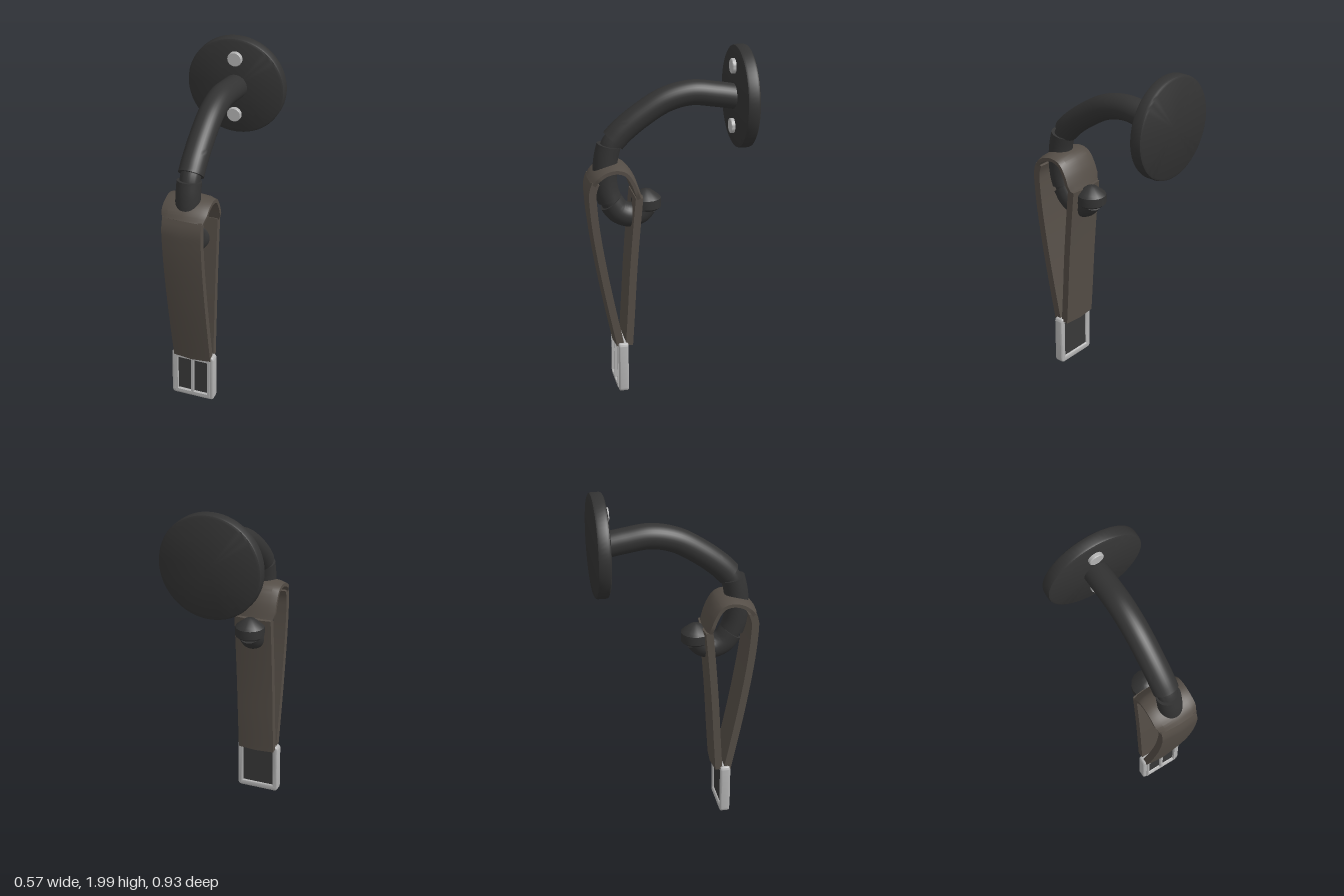
import * as THREE from 'three';
import { toCreasedNormals } from 'three/addons/utils/BufferGeometryUtils.js';

const paint = (color) => new THREE.MeshStandardMaterial({ color });

// Sweep a convex section [x, offset] along a path of [z, y] points in the side plane.
// widthAt(t) scales the section's x along the path.
function sweep(points, section, steps = 32, crease = 0.6, widthAt = () => 1) {
  const curve = new THREE.CatmullRomCurve3(points.map(([z, y]) => new THREE.Vector3(0, y, z)));
  const n = section.length;
  const pos = [];
  const index = [];
  for (let i = 0; i <= steps; i++) {
    const p = curve.getPointAt(i / steps);
    const t = curve.getTangentAt(i / steps);
    for (const [x, o] of section) pos.push(x * widthAt(i / steps), p.y + t.z * o, p.z - t.y * o);
  }
  for (let i = 0; i < steps; i++) {
    for (let j = 0; j < n; j++) {
      const a = i * n + j, b = i * n + (j + 1) % n;
      index.push(a, b, b + n, a, b + n, a + n);
    }
  }
  const end = steps * n;
  for (let j = 1; j < n - 1; j++) index.push(0, j + 1, j, end, end + j, end + j + 1);
  const g = new THREE.BufferGeometry();
  g.setAttribute('position', new THREE.Float32BufferAttribute(pos, 3));
  g.setIndex(index);
  return toCreasedNormals(g, crease);
}

function circle(r, sides = 32) {
  return Array.from({ length: sides }, (_, i) => {
    const a = (i / sides) * Math.PI * 2;
    return [Math.cos(a) * r, Math.sin(a) * r];
  });
}

function lathe(profile, sides = 48) {
  const g = new THREE.LatheGeometry(profile.map(([r, y]) => new THREE.Vector2(r, y)), sides);
  return toCreasedNormals(g, 0.5);
}

// Rounded rectangle centred on x = 0 between two heights
function roundRect(Type, w, y0, y1, r) {
  const s = new Type();
  s.moveTo(-w + r, y0);
  s.lineTo(w - r, y0);
  s.quadraticCurveTo(w, y0, w, y0 + r);
  s.lineTo(w, y1 - r);
  s.quadraticCurveTo(w, y1, w - r, y1);
  s.lineTo(-w + r, y1);
  s.quadraticCurveTo(-w, y1, -w, y1 - r);
  s.lineTo(-w, y0 + r);
  s.quadraticCurveTo(-w, y0, -w + r, y0);
  return s;
}

export function createModel() {
  const group = new THREE.Group();
  const black = paint(0x333333);
  const leather = paint(0x544d46);
  const metal = paint(0xb4b4b4);
  const panel = paint(0x383838);
  const add = (name, geometry, material, x = 0, y = 0, z = 0) => {
    const m = new THREE.Mesh(geometry, material);
    m.name = name;
    m.position.set(x, y, z);
    group.add(m);
    return m;
  };

  // Round wall plate with bevelled rims, and its two screws
  const plate = lathe([[0, -0.038], [0.272, -0.038], [0.283, -0.032], [0.287, -0.022],
    [0.287, 0.022], [0.283, 0.032], [0.272, 0.038], [0, 0.038]], 64).rotateX(Math.PI / 2);
  add('wallPlate', plate, black, 0, 1.713, -0.425);
  const screw = lathe([[0, -0.02], [0.042, -0.02], [0.042, 0.017], [0.038, 0.021], [0, 0.021]], 32)
    .rotateX(Math.PI / 2);
  for (const y of [1.885, 1.545]) add('screw', screw, metal, 0, y, -0.386);

  // Curved arm, narrow neck and the two parts of the hook
  add('arm', sweep([[-0.39, 1.713], [-0.28, 1.732], [-0.14, 1.748], [0, 1.717], [0.14, 1.636],
    [0.25, 1.55], [0.298, 1.5]], circle(0.071), 40), black);
  add('neck', sweep([[0.28, 1.52], [0.31, 1.48], [0.325, 1.44]], circle(0.056), 6), black);
  add('hookShank', sweep([[0.322, 1.475], [0.34, 1.4], [0.348, 1.3], [0.338, 1.21], [0.322, 1.16]],
    circle(0.068), 20), black);
  add('hookJoint', sweep([[0.33, 1.19], [0.305, 1.13], [0.28, 1.1]], circle(0.058), 6), black);
  add('hookTip', sweep([[0.315, 1.145], [0.275, 1.09], [0.215, 1.062], [0.155, 1.075], [0.12, 1.115]],
    circle(0.07), 20), black);
  add('hookKnob', lathe([[0, -0.035], [0.07, -0.035], [0.085, -0.022], [0.085, 0.03],
    [0.07, 0.045], [0.03, 0.075], [0, 0.082]], 16), black, 0, 1.127, 0.114);

  // Strap strands with a slightly crowned outer face
  const strapSection = [[-0.112, -0.021], [0, -0.032], [0.112, -0.021], [0.112, 0.021], [-0.112, 0.021]];
  add('frontStrap', sweep([[0.288, 0.3], [0.335, 0.53], [0.378, 0.76], [0.415, 1.0], [0.43, 1.15],
    [0.432, 1.24], [0.415, 1.29]], strapSection, 32, 0.3), leather);
  add('backStrap', sweep([[0.172, 1.19], [0.19, 1.0], [0.21, 0.75], [0.225, 0.5], [0.238, 0.3]],
    strapSection, 24, 0.3), leather);

  // Wider cap that closes the loop over the hook
  const capSection = [[-0.128, -0.002], [-0.09, -0.014], [0, -0.02], [0.09, -0.014], [0.128, -0.002],
    [0.128, 0.018], [-0.128, 0.018]];
  add('strapCap', sweep([[0.432, 1.285], [0.405, 1.32], [0.36, 1.35], [0.3, 1.362], [0.245, 1.345],
    [0.205, 1.29], [0.168, 1.19]], capSection, 28, 0.3,
  (t) => Math.min(1, 0.9 + 0.8 * Math.min(t, 1.25 * (1 - t) + 0.01))), leather);

  // Metal end frame with a rounded rim
  const rim = roundRect(THREE.Shape, 0.122, 0.018, 0.31, 0.016);
  rim.holes.push(roundRect(THREE.Path, 0.104, 0.04, 0.287, 0.006));
  const rimGeo = new THREE.ExtrudeGeometry(rim, { depth: 0.036, bevelThickness: 0.01, bevelSize: 0.008, bevelSegments: 3 });
  add('endFrame', toCreasedNormals(rimGeo, 0.6), metal, 0, 0, 0.256);

  // Raised inner border, centre bar and dark panels
  const border = roundRect(THREE.Shape, 0.106, 0.03, 0.295, 0.004);
  border.holes.push(roundRect(THREE.Path, 0.092, 0.047, 0.28, 0.002));
  add('innerBorder', new THREE.ExtrudeGeometry(border, { depth: 0.03, bevelEnabled: false }), metal, 0, 0, 0.279);
  add('centreBar', new THREE.BoxGeometry(0.016, 0.24, 0.03), metal, 0, 0.163, 0.293);
  add('darkPanel', new THREE.BoxGeometry(0.21, 0.25, 0.036), panel, 0, 0.163, 0.274);

  return group;
}
